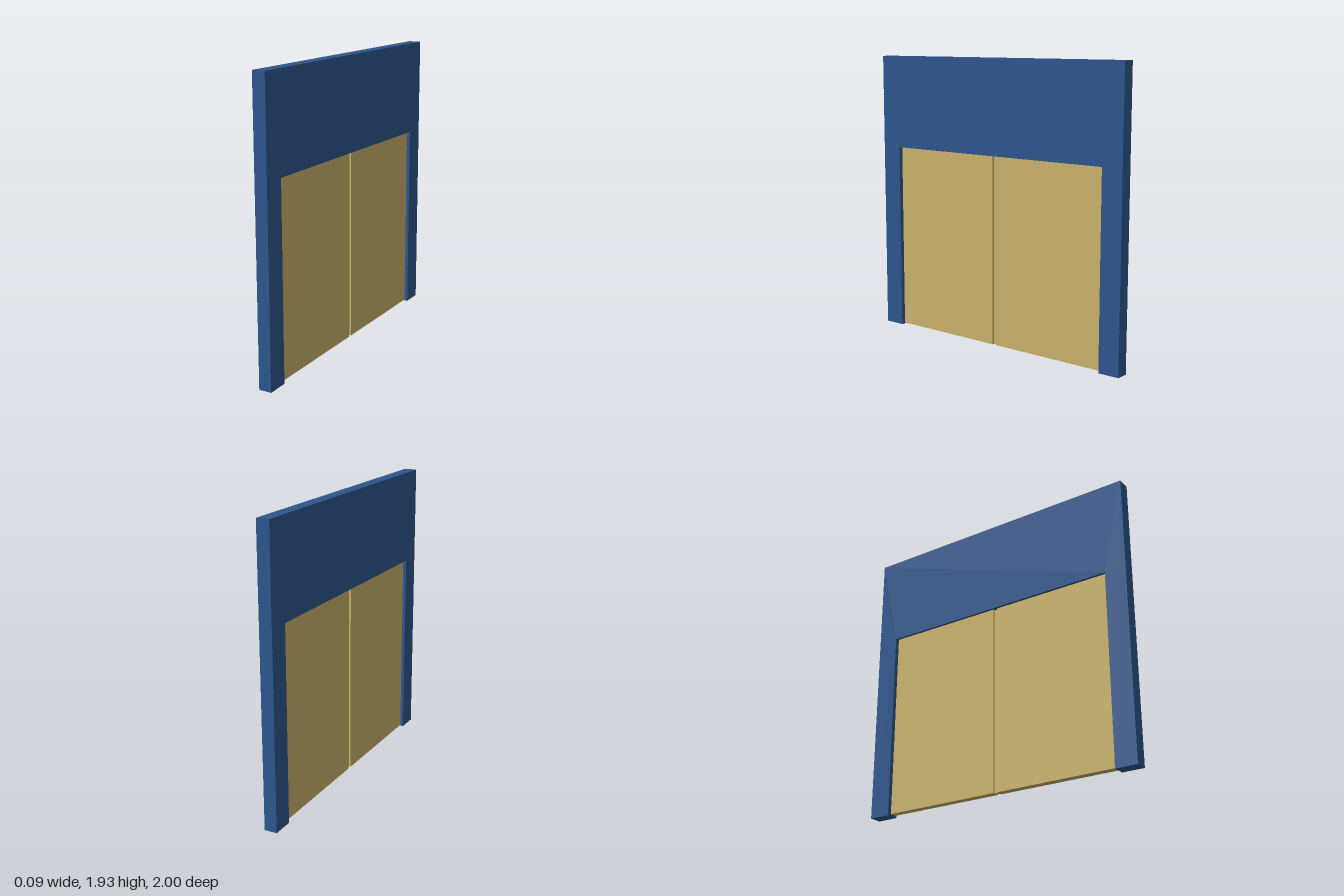
import * as THREE from 'three';

export function createModel() {
  const model = new THREE.Group();
  const blue = new THREE.MeshStandardMaterial({ color: 0x2d558c });
  const tan = new THREE.MeshStandardMaterial({ color: 0xc8b16a });

  const frameDepth = 0.086, height = 1.935;
  const openHalf = 0.853, openTop = 1.297;
  const doorDepth = 0.05, doorBottom = 0.01;
  const doorHeight = openTop - doorBottom;

  // Wall surround: one outline with the doorway cut up from the floor
  const outline = new THREE.Shape([
    [-1, 0], [-openHalf, 0], [-openHalf, openTop], [openHalf, openTop],
    [openHalf, 0], [1, 0], [1, height], [-1, height],
  ].map(([z, y]) => new THREE.Vector2(z, y)));
  const wall = new THREE.ExtrudeGeometry(outline, { depth: frameDepth, bevelEnabled: false });
  wall.translate(0, 0, -frameDepth / 2).rotateY(Math.PI / 2);
  const surround = new THREE.Mesh(wall, blue);
  surround.name = 'doorSurround';
  model.add(surround);

  const addPanel = (name, depth, zMin, zMax) => {
    const mesh = new THREE.Mesh(new THREE.BoxGeometry(depth, doorHeight, zMax - zMin), tan);
    mesh.position.set(0, doorBottom + doorHeight / 2, (zMin + zMax) / 2);
    mesh.name = name;
    model.add(mesh);
  };

  // Pair of flat door leaves, set in from both wall faces
  addPanel('frontDoorLeaf', doorDepth, 0.014, 0.843);
  addPanel('backDoorLeaf', doorDepth, -0.843, -0.014);

  // Recessed strip closing the gap where the leaves meet
  addPanel('meetingStrip', 0.024, -0.014, 0.014);

  return model;
}
